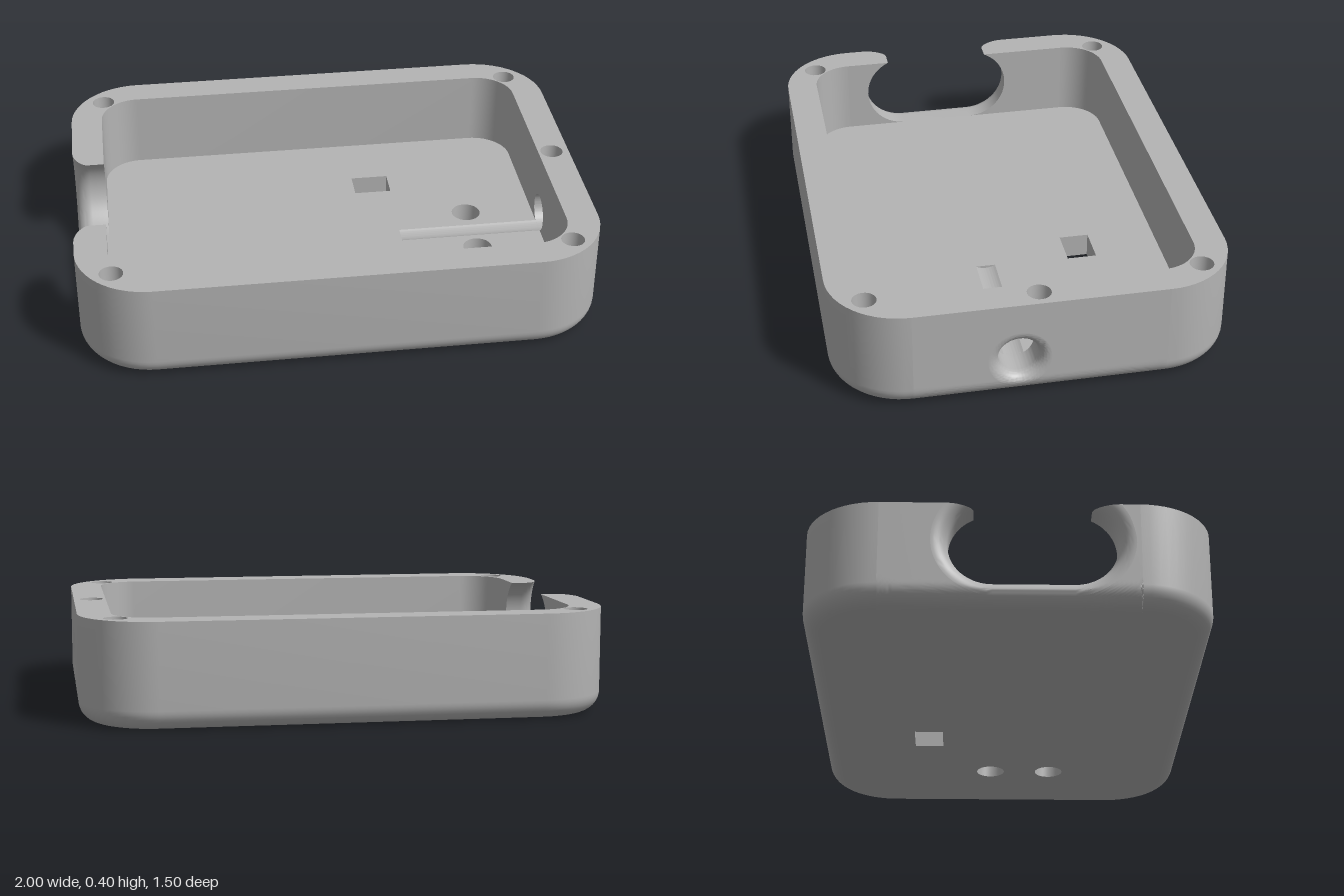
import * as THREE from 'three';
import { toCreasedNormals } from 'three/addons/utils/BufferGeometryUtils.js';

const H = 0.4, FLOOR = 0.095, FILLET = 0.075;
const OUT = { x: 1, z: 0.75, r: 0.28 }, INN = { x: 0.875, z: 0.6275, r: 0.15 };
const FLAT = OUT.z - OUT.r, INFLAT = INN.z - INN.r;
const PORT = { z: 0.08, y: 0.16, r: 0.075, flare: 0.042 };
const SLOT = { z: 0.085, y: 0.255, r: 0.16, half: 0.147, flare: 0.062 };
const ARC = 24;

export function createModel() {
  const group = new THREE.Group();
  const grey = new THREE.MeshStandardMaterial({ color: 0xb4b4b4, side: THREE.DoubleSide });
  grey.name = 'grey plastic';

  const add = (name, geometry) => {
    const mesh = new THREE.Mesh(geometry, grey);
    mesh.name = name;
    group.add(mesh);
  };

  // Surface through a grid of points fn(i, j) -> [x, y, z]
  const grid = (name, nu, nv, fn) => {
    const pos = [], index = [], w = nv + 1;
    for (let i = 0; i <= nu; i++) for (let j = 0; j <= nv; j++) pos.push(...fn(i, j));
    for (let i = 0; i < nu; i++) for (let j = 0; j < nv; j++) {
      const a = i * w + j, b = a + w;
      index.push(a, b, b + 1, a, b + 1, a + 1);
    }
    const g = new THREE.BufferGeometry();
    g.setAttribute('position', new THREE.Float32BufferAttribute(pos, 3));
    g.setIndex(index);
    add(name, toCreasedNormals(g, 0.6));
  };

  // Flat horizontal face from [x, z] outlines; s = -1 faces up, 1 faces down
  const level = (name, pts, holes, y, s) => {
    const v = (list) => list.map(([x, z]) => new THREE.Vector2(x, s * z));
    const shape = new THREE.Shape(v(pts));
    holes.forEach((h) => shape.holes.push(new THREE.Path(v(h))));
    add(name, new THREE.ShapeGeometry(shape).rotateX(s * Math.PI / 2).translate(0, y, 0));
  };

  // Flat upright face from [z, y] outline; s is the direction of its normal along x
  const upright = (name, pts, x, s) => {
    const shape = new THREE.Shape(pts.map(([z, y]) => new THREE.Vector2(-s * z, y)));
    add(name, new THREE.ShapeGeometry(shape).rotateY(s * Math.PI / 2).translate(x, 0, 0));
  };

  // Vertical wall of a hole, facing its middle
  const holeWall = (name, pts, y0, y1) => grid(name, pts.length, 1, (i, j) => {
    const [x, z] = pts[i % pts.length];
    return [x, j ? y1 : y0, z];
  });

  const circle = (cx, cz, r, n = 32) => Array.from({ length: n }, (_, i) => {
    const a = i / n * Math.PI * 2;
    return [cx + r * Math.cos(a), cz + r * Math.sin(a)];
  });

  // Rounded corners of a rectangle, starting at quadrant `from`
  const outline = (o, inset, from, count) => {
    const pts = [], r = o.r - inset, n = 14;
    for (let k = from; k < from + count; k++) {
      const q = k % 4, sx = q === 0 || q === 3 ? 1 : -1, sz = q < 2 ? 1 : -1;
      for (let i = 0; i <= n; i++) {
        const a = (q + i / n) * Math.PI / 2;
        pts.push([sx * (o.x - o.r) + r * Math.cos(a), sz * (o.z - o.r) + r * Math.sin(a)]);
      }
    }
    return pts;
  };

  // Half width of the body at height y, following the bottom fillet
  const reach = (y) => y >= FILLET ? 1
    : 1 - FILLET + Math.sqrt(Math.max(0, FILLET ** 2 - (FILLET - y) ** 2));

  // Flare steps: [added radius, distance along x]
  const flare = (d) => Array.from({ length: 13 }, (_, k) => {
    const a = k / 12 * Math.PI / 2;
    return [d * (1 - Math.cos(a)), 1 - d + d * Math.sin(a)];
  });

  // Slot contour, from the top on +z, under, to the top on -z
  const slotPoint = (i, grow) => {
    const s = i <= ARC ? 1 : -1, t = s > 0 ? i / ARC : (2 * ARC + 1 - i) / ARC;
    const r = SLOT.r + grow, top = Math.asin((H - SLOT.y) / r);
    const a = top + t * (-Math.PI / 2 - top);
    return [SLOT.z + s * (SLOT.half + r * Math.cos(a)), SLOT.y + r * Math.sin(a)];
  };
  const portPoint = (i, grow) => {
    const a = (i / (4 * ARC)) * Math.PI * 2 - Math.PI / 4, r = PORT.r + grow;
    return [PORT.z + r * Math.cos(a), PORT.y + r * Math.sin(a)];
  };

  // Outer and inner walls: front and back halves with their corners
  for (const [side, from] of [['front', 0], ['back', 2]]) {
    const rows = [[0, H]];
    for (let k = 0; k <= 10; k++) {
      const a = k / 10 * Math.PI / 2;
      rows.push([FILLET * (1 - Math.cos(a)), FILLET * (1 - Math.sin(a))]);
    }
    const loops = rows.map(([inset]) => outline(OUT, inset, from, 2));
    grid(side + 'OuterWall', loops[0].length - 1, rows.length - 1, (i, j) =>
      [loops[j][i][0], rows[j][1], loops[j][i][1]]);
    const inner = outline(INN, 0, from, 2);
    grid(side + 'InnerWall', inner.length - 1, 1, (i, j) =>
      [inner[i][0], j ? H : FLOOR, inner[i][1]]);
  }

  // Left end wall around the round port
  const RINGS = 24;
  const leftRim = (i) => {
    const k = Math.floor(i / ARC) % 4, t = (i % ARC) / ARC, z = FLAT * (1 - 2 * t);
    return [[FLAT, H * t * t], [z, H], [-FLAT, H * (1 - t) ** 2], [-z, 0]][k];
  };
  const blend = (a, b, t) => [a[0] + (b[0] - a[0]) * t, a[1] + (b[1] - a[1]) * t];
  grid('leftOuterWall', 4 * ARC, RINGS, (i, j) => {
    const [z, y] = blend(portPoint(i, PORT.flare), leftRim(i), j / RINGS);
    return [reach(y), y, z];
  });

  // Right end wall around the open slot
  const rightRim = (i) => {
    const s = i <= ARC ? 1 : -1, t = s > 0 ? i / ARC : (2 * ARC + 1 - i) / ARC;
    if (t <= 0.5) return [s * FLAT, H * (1 - 2 * t) ** 2];
    return blend([s * FLAT, 0], [SLOT.z + s * SLOT.half, 0], 2 * t - 1);
  };
  grid('rightOuterWall', 2 * ARC + 1, RINGS, (i, j) => {
    const [z, y] = blend(slotPoint(i, SLOT.flare), rightRim(i), j / RINGS);
    return [-reach(y), y, z];
  });

  // Flared linings of the port and the slot
  const portSteps = [[0, INN.x], ...flare(PORT.flare)];
  grid('portLining', 4 * ARC, portSteps.length - 1, (i, j) => {
    const [z, y] = portPoint(i, portSteps[j][0]);
    return [Math.min(portSteps[j][1], reach(y)), y, z];
  });
  const slotSteps = [[0, INN.x], ...flare(SLOT.flare)];
  grid('slotLining', 2 * ARC + 1, slotSteps.length - 1, (i, j) => {
    const [z, y] = slotPoint(i, slotSteps[j][0]);
    return [-Math.min(slotSteps[j][1], reach(y)), y, z];
  });

  // Inner end faces
  const cut = Math.asin((FLOOR - PORT.y) / PORT.r), chord = PORT.r * Math.cos(cut);
  const portArc = (a0, a1) => Array.from({ length: 33 }, (_, i) => {
    const a = a0 + (a1 - a0) * i / 32;
    return [PORT.z + PORT.r * Math.cos(a), PORT.y + PORT.r * Math.sin(a)];
  });
  upright('leftInnerWall', [[-INFLAT, H], [-INFLAT, FLOOR],
    ...portArc(Math.PI - cut, cut), [INFLAT, FLOOR], [INFLAT, H]], INN.x, -1);
  for (const s of [1, -1]) {
    const arc = Array.from({ length: ARC + 1 }, (_, k) => slotPoint(s > 0 ? k : 2 * ARC + 1 - k, 0));
    upright('rightInnerWall', [...arc, [s * INFLAT, FLOOR], [s * INFLAT, H]], -INN.x, 1);
  }

  // Cable groove running from the port along the floor
  const G0 = 0.305, trough = portArc(cut, -Math.PI - cut);
  grid('groove', 32, 1, (i, j) => [j ? INN.x : G0, trough[32 - i][1], trough[32 - i][0]]);
  upright('grooveEnd', trough, G0, 1);

  // Openings through the base
  const openings = [circle(0.6, -0.05, 0.058), circle(0.6, 0.2, 0.058),
    [[0.315, -0.365], [0.315, -0.25], [0.165, -0.25], [0.165, -0.365]]];
  openings.forEach((p) => holeWall('baseOpening', p, 0, FLOOR));
  const grooveCut = [[G0, PORT.z - chord], [INN.x - 0.0005, PORT.z - chord],
    [INN.x - 0.0005, PORT.z + chord], [G0, PORT.z + chord]];
  // The groove lies between the two round openings
  level('floor', outline(INN, 0, 0, 4), [...openings, grooveCut], FLOOR, -1);
  level('underside', outline(OUT, FILLET, 0, 4), openings, 0, 1);

  // Top rim, interrupted by the slot, with blind screw holes
  const screws = [[-0.865, -0.62], [0.865, -0.62], [0.865, 0.62], [-0.865, 0.62], [0.93, 0]]
    .map(([x, z]) => circle(x, z, 0.045, 24));
  const lip = (i) => slotSteps.map(([grow, x]) => [-x, slotPoint(i, grow)[0]]);
  level('rim', [...outline(OUT, 0, 2, 4), ...lip(0).reverse(),
    ...outline(INN, 0, 2, 4).reverse(), ...lip(2 * ARC + 1)], screws, H, -1);
  screws.forEach((p) => {
    holeWall('screwHole', p, 0.25, H);
    level('screwHoleEnd', p, [], 0.25, -1);
  });

  return group;
}
